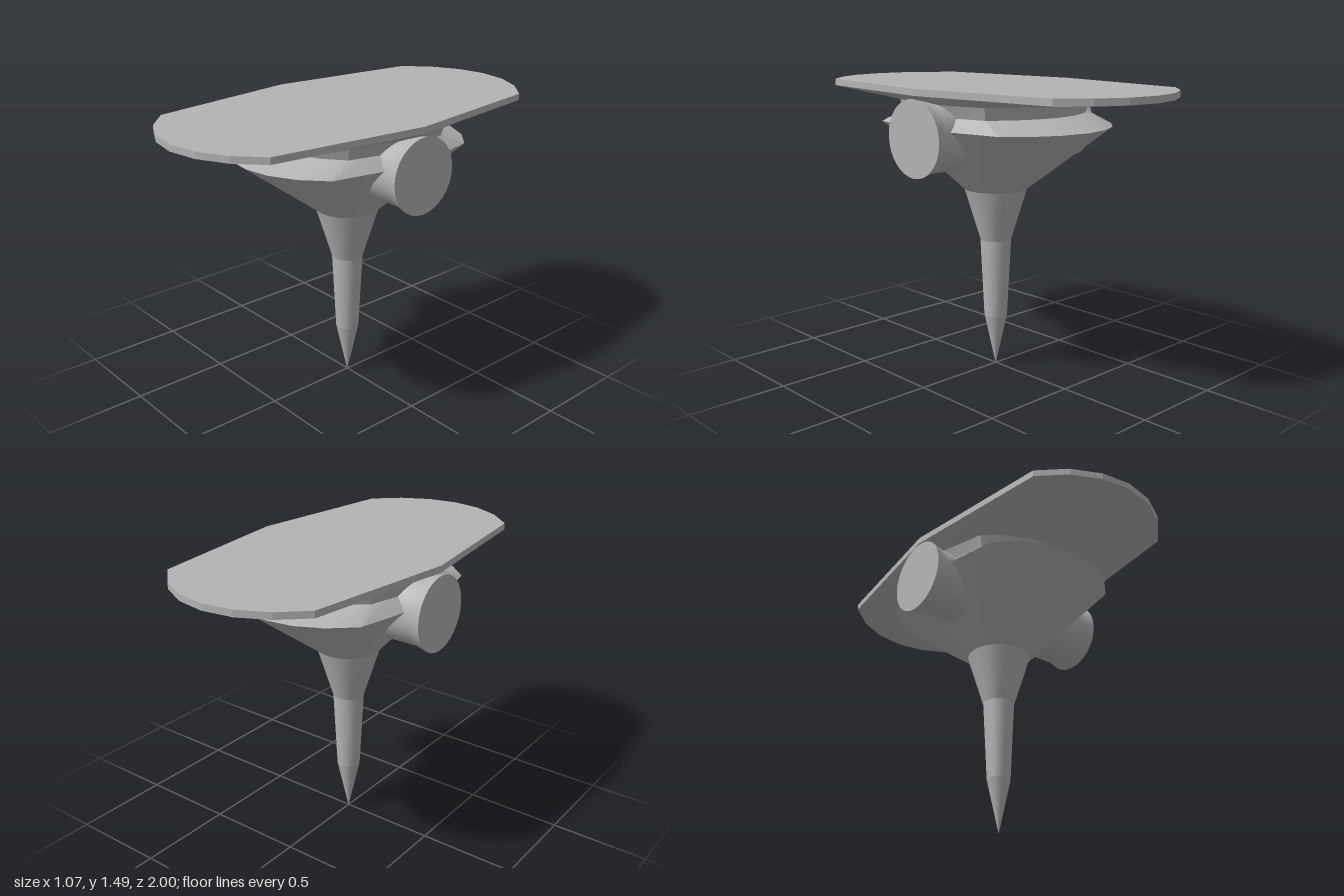
import * as THREE from 'three';
import { toCreasedNormals } from 'three/addons/utils/BufferGeometryUtils.js';

const STEPS = 24;

// Outline with curved ends (front and back) and nearly straight sides.
// side: half width at z = 0, (cx, cz): corner, depth: half length, round: 1 makes the sides bulge
function ring(y, side, cx, cz, depth, round = 0) {
  const k = Math.SQRT1_2, pts = [];
  for (let i = 0; i < STEPS; i++) {
    const a = (i / STEPS) * Math.PI * 2;
    const s = Math.sin(a), c = Math.cos(a), as = Math.abs(s), ac = Math.abs(c);
    let x, z;
    if (ac >= k - 1e-6) { // curved end
      x = (cx * as) / k;
      z = cz + ((depth - cz) * (ac - k)) / (1 - k);
    } else { // side
      z = (cz * ac) / k;
      const line = (1 - ac / k), arc = (as - k) / (1 - k);
      x = cx + (side - cx) * (line + (arc - line) * round);
    }
    pts.push([Math.sign(s) * x, y, Math.sign(c) * z]);
  }
  return pts;
}

const circle = (y, r) => ring(y, r, r * Math.SQRT1_2, r * Math.SQRT1_2, r, 1);

// Surface between two outlines, lower one first
function band(lower, upper, crease) {
  const pos = [];
  for (let i = 0; i < STEPS; i++) {
    const j = (i + 1) % STEPS;
    pos.push(...lower[i], ...lower[j], ...upper[j], ...lower[i], ...upper[j], ...upper[i]);
  }
  const g = new THREE.BufferGeometry();
  g.setAttribute('position', new THREE.Float32BufferAttribute(pos, 3));
  return toCreasedNormals(g, crease);
}

// Flat top face
function lid(outline) {
  const pos = [], y = outline[0][1];
  outline.forEach((p, i) => pos.push(0, y, 0, ...p, ...outline[(i + 1) % STEPS]));
  const g = new THREE.BufferGeometry();
  g.setAttribute('position', new THREE.Float32BufferAttribute(pos, 3));
  g.computeVertexNormals();
  return g;
}

export function createModel() {
  const model = new THREE.Group();
  model.name = 'spikedPlatform';
  const grey = new THREE.MeshStandardMaterial({ color: 0xb4b4b4 });
  grey.name = 'grey';

  const add = (name, geometry) => {
    const mesh = new THREE.Mesh(geometry, grey);
    mesh.name = name;
    model.add(mesh);
    return mesh;
  };

  // Body outlines from the point upwards
  const tip = circle(0, 0.001);
  const shaftLow = circle(0.275, 0.06);
  const shaftHigh = circle(0.685, 0.08);
  const collar = circle(0.953, 0.162);
  const flange = ring(1.292, 0.48, 0.39, 0.43, 0.62);
  const neckLow = ring(1.35, 0.425, 0.35, 0.30, 0.445);
  const neckHigh = ring(1.41, 0.45, 0.365, 0.31, 0.462);
  const plateLow = ring(1.455, 0.528, 0.425, 0.787, 1);
  const plateHigh = ring(1.488, 0.528, 0.425, 0.787, 1);

  add('spikeTip', band(tip, shaftLow, 0.5));
  add('spikeShaft', band(shaftLow, shaftHigh, 0.5));
  add('spikeCollar', band(shaftHigh, collar, 0.5));
  add('funnel', band(collar, flange, 0.4));
  add('flangeTop', band(flange, neckLow, 0.4));
  add('neck', band(neckLow, neckHigh, 0.4));
  add('plateUnderside', band(neckHigh, plateLow, 0.4));
  add('plateRim', band(plateLow, plateHigh, 0.2));
  add('plateTop', lid(plateHigh));

  // Flared side drums with flat caps
  const profile = [[0.172, 0], [0.172, 0.46], [0.178, 0.495], [0.188, 0.533]]
    .map(([r, h]) => new THREE.Vector2(r, h));
  for (const side of [1, -1]) {
    const name = side > 0 ? 'left' : 'right';
    const drum = add(name + 'Drum', new THREE.LatheGeometry(profile, 32));
    drum.position.y = 1.253;
    drum.rotation.z = -side * Math.PI / 2;
    const cap = add(name + 'DrumCap', new THREE.CircleGeometry(0.188, 32));
    cap.position.set(side * 0.533, 1.253, 0);
    cap.rotation.y = side * Math.PI / 2;
  }
  return model;
}
